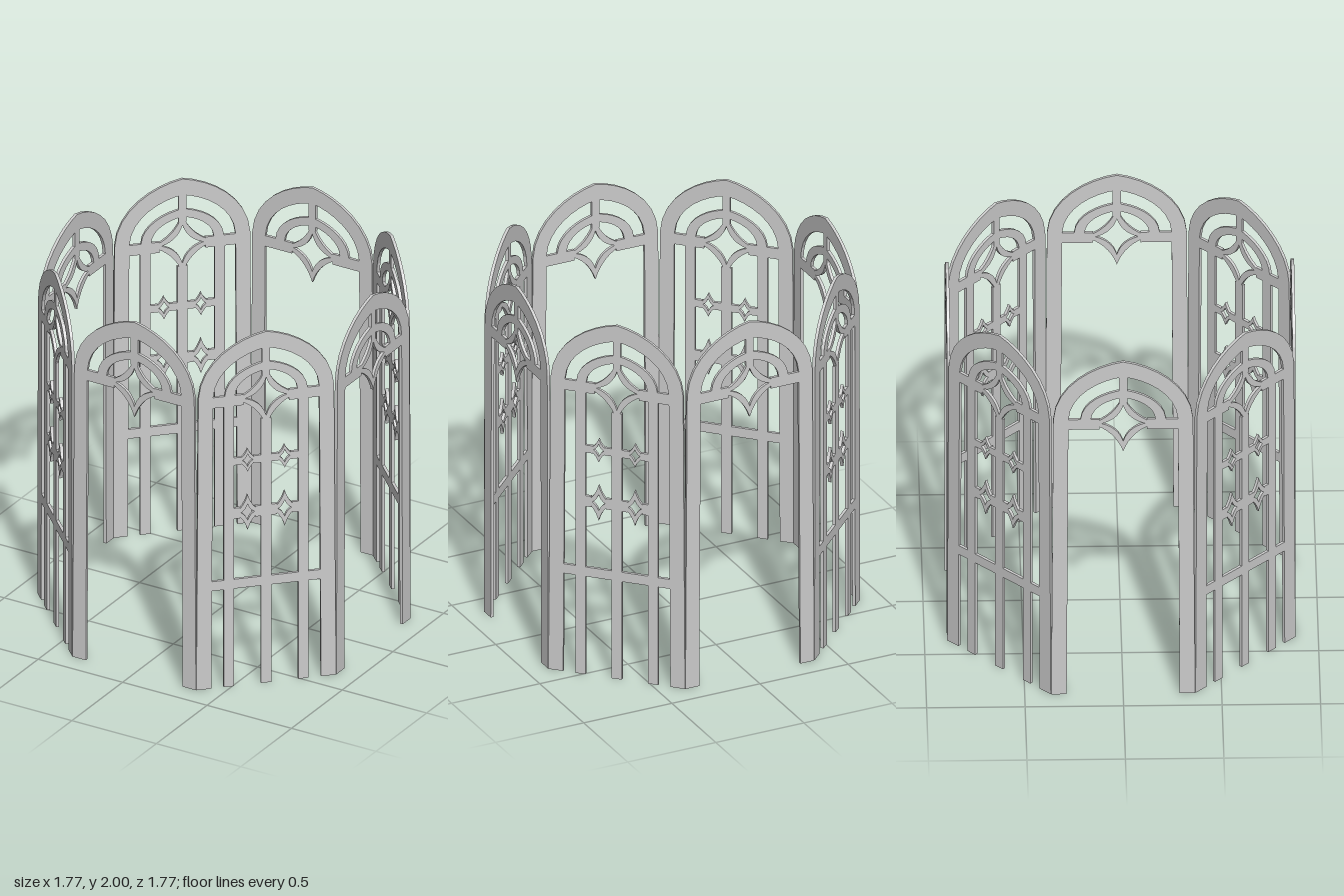
import * as THREE from 'three';

const DEPTH = 0.016;      // panel thickness
const APOTHEM = 0.877;    // centre to middle of each panel
const SPRING = 1.655;     // height where the arches start
const STAR_Y = 1.63;

const material = new THREE.MeshStandardMaterial({ color: 0xcccccc });

// Slightly pointed arch from (w, SPRING) over (0, SPRING + h) to (-w, SPRING)
function archOver(path, w, h) {
  path.bezierCurveTo(0.97 * w, SPRING + 0.6 * h, 0.42 * w, SPRING + 0.93 * h, 0, SPRING + h);
  path.bezierCurveTo(-0.42 * w, SPRING + 0.93 * h, -0.97 * w, SPRING + 0.6 * h, -w, SPRING);
}

// Arched outline whose foot narrows or widens to footW at height footY
function archOutline(path, w, h, footW, footY) {
  path.moveTo(footW, footY);
  path.lineTo(w, SPRING);
  archOver(path, w, h);
  path.lineTo(-footW, footY);
  path.closePath();
  return path;
}

// Four-pointed star with concave sides; pinch sets the control points
function starOutline(path, cx, cy, rx, ry, pinch) {
  const tips = [[1, 0], [0, 1], [-1, 0], [0, -1]];
  path.moveTo(cx + rx, cy);
  for (let i = 0; i < 4; i++) {
    const a = tips[i], b = tips[(i + 1) % 4];
    path.quadraticCurveTo(
      cx + (a[0] + b[0]) * rx * pinch, cy + (a[1] + b[1]) * ry * pinch,
      cx + b[0] * rx, cy + b[1] * ry);
  }
  return path;
}

function extrude(shape) {
  const geo = new THREE.ExtrudeGeometry(shape, { depth: DEPTH, bevelEnabled: false, curveSegments: 8 });
  return geo.translate(0, 0, -DEPTH / 2);
}

function bar(x0, x1, y0, y1) {
  return new THREE.BoxGeometry(x1 - x0, y1 - y0, DEPTH).translate((x0 + x1) / 2, (y0 + y1) / 2, 0);
}

function starRing(cx, cy, outer, inner) {
  const shape = starOutline(new THREE.Shape(), cx, cy, ...outer);
  shape.holes.push(starOutline(new THREE.Path(), cx, cy, ...inner));
  return extrude(shape);
}

// Legs and outer arch in one piece
function frameGeometry() {
  const s = new THREE.Shape();
  s.moveTo(0.365, 0);
  s.lineTo(0.355, SPRING);
  archOver(s, 0.355, 0.345);
  s.lineTo(-0.365, 0);
  s.lineTo(-0.287, 0);
  s.lineTo(-0.278, SPRING);
  const inner = archOutline(new THREE.Path(), 0.278, 0.255, 0.287, 0).getPoints(8);
  // inner edge runs back from left to right
  inner.filter((p) => p.y > SPRING + 1e-4).reverse().forEach((p) => s.lineTo(p.x, p.y));
  s.lineTo(0.278, SPRING);
  s.lineTo(0.287, 0);
  s.closePath();
  return extrude(s);
}

function innerArchGeometry() {
  const s = archOutline(new THREE.Shape(), 0.217, 0.175, 0.217, 1.6);
  s.holes.push(archOutline(new THREE.Path(), 0.164, 0.13, 0.164, 1.61));
  // the foot of the ring is closed by the transom, so cut its middle out
  const ring = new THREE.Shape();
  ring.moveTo(0.217, SPRING);
  archOver(ring, 0.217, 0.175);
  ring.lineTo(-0.164, SPRING);
  s.holes[0].getPoints(8).filter((p) => p.y > SPRING + 1e-4).reverse().forEach((p) => ring.lineTo(p.x, p.y));
  ring.lineTo(0.164, SPRING);
  ring.closePath();
  return extrude(ring);
}

// Parts shared by all panels: [name, geometry]
function archParts() {
  return [
    ['archFrame', frameGeometry()],
    ['innerArch', innerArchGeometry()],
    ['transomLeft', bar(0.12, 0.3, 1.595, SPRING)],
    ['transomRight', bar(-0.3, -0.12, 1.595, SPRING)],
    ['archKeyBar', bar(-0.021, 0.021, 1.755, 1.92)],
    ['largeStar', starRing(0, STAR_Y, [0.165, 0.168, 0.25], [0.11, 0.108, 0.22])],
  ];
}

// Bars and small stars of the window panels
function latticeParts() {
  const parts = [
    ['centreMullion', bar(-0.027, 0.027, 0, 1.505)],
    ['lowerRail', bar(-0.3, 0.3, 0.555, 0.608)],
  ];
  const rows = [
    { y: 1.278, half: 0.021, outer: [0.058, 0.066, 0.3], inner: [0.028, 0.036, 0.3] },
    { y: 0.982, half: 0.03, outer: [0.068, 0.1, 0.3], inner: [0.036, 0.046, 0.3] },
  ];
  for (const side of [-1, 1]) {
    parts.push(['sideMullion', bar(side * 0.195 - 0.027, side * 0.195 + 0.027, 0, 1.6)]);
    for (const { y, half, outer, inner } of rows) {
      const cx = side * 0.097;
      parts.push(['smallStar', starRing(cx, y, outer, inner)]);
      // short rails on both sides of the star
      parts.push(['starRail', bar(cx - 0.085, cx - inner[0] - 0.004, y - half, y + half)]);
      parts.push(['starRail', bar(cx + inner[0] + 0.004, cx + 0.085, y - half, y + half)]);
    }
  }
  return parts;
}

export function createModel() {
  const model = new THREE.Group();
  model.name = 'octagonalPavilion';
  const arch = archParts();
  const lattice = latticeParts();

  // Open doorways face the four axes, lattice windows the diagonals
  for (let i = 0; i < 8; i++) {
    const isWindow = i % 2 === 1;
    const panel = new THREE.Group();
    panel.name = isWindow ? 'windowPanel' : 'doorwayPanel';
    for (const [name, geo] of isWindow ? [...arch, ...lattice] : arch) {
      const mesh = new THREE.Mesh(geo, material);
      mesh.name = name;
      panel.add(mesh);
    }
    const angle = (i * Math.PI) / 4;
    panel.rotation.y = angle;
    panel.position.set(Math.sin(angle) * APOTHEM, 0, Math.cos(angle) * APOTHEM);
    model.add(panel);
  }
  return model;
}
